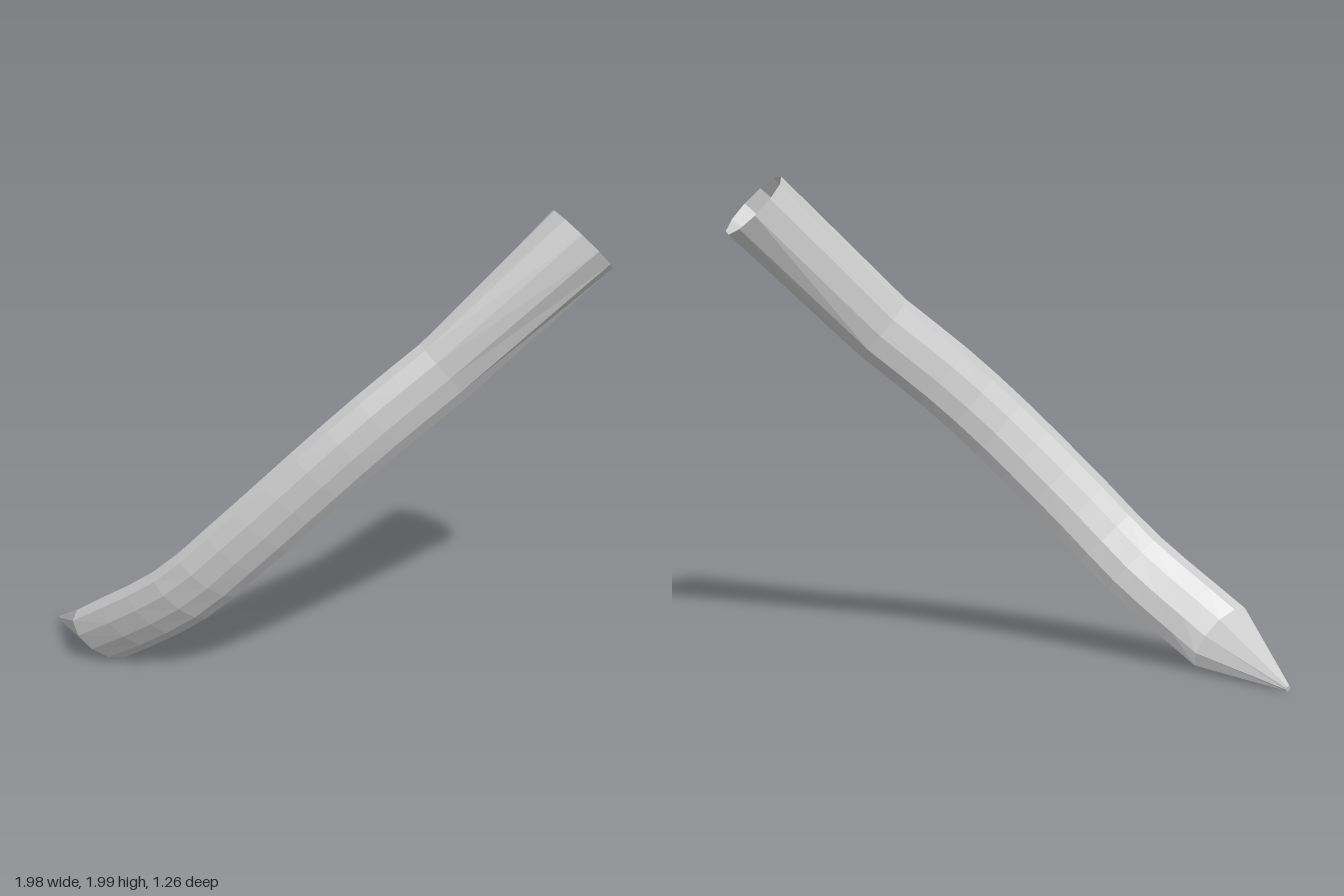
import * as THREE from 'three';

const SIDES = 11;
const V = (x, y, z) => new THREE.Vector3(x, y, z);

// Flat-shaded open skin through a list of elliptical rings { c, w, n }:
// centre, half-width vector and half-thickness vector
function loft(name, rings, material, capEnd = false) {
  const pos = [], idx = [];
  for (const { c, w, n } of rings) {
    for (let j = 0; j < SIDES; j++) {
      const a = (j / SIDES) * Math.PI * 2;
      const p = c.clone().addScaledVector(n, Math.cos(a)).addScaledVector(w, Math.sin(a));
      pos.push(p.x, p.y, p.z);
    }
  }
  for (let i = 0; i < rings.length - 1; i++) {
    for (let j = 0; j < SIDES; j++) {
      const k = (j + 1) % SIDES;
      const a = i * SIDES + j, b = i * SIDES + k;
      idx.push(a, a + SIDES, b, b, a + SIDES, b + SIDES);
    }
  }
  if (capEnd) {
    const s = (rings.length - 1) * SIDES;
    for (let j = 1; j < SIDES - 1; j++) idx.push(s, s + j + 1, s + j);
  }
  const geo = new THREE.BufferGeometry();
  geo.setAttribute('position', new THREE.Float32BufferAttribute(pos, 3));
  geo.setIndex(idx);
  geo.computeVertexNormals();
  const mesh = new THREE.Mesh(geo, material);
  mesh.name = name;
  return mesh;
}

export function createModel() {
  const group = new THREE.Group();
  group.name = 'curvedHorn';
  const material = new THREE.MeshStandardMaterial({
    color: 0xcccccc, flatShading: true, side: THREE.DoubleSide,
  });

  // Flattened, curving shaft
  const path = new THREE.CatmullRomCurve3([
    V(0.365, 1.385, 0.395), V(0.1, 1.165, 0.357), V(-0.1, 0.975, 0.31),
    V(-0.4, 0.65, 0.188), V(-0.6, 0.415, 0.06), V(-0.875, 0.135, -0.225),
  ]);
  const shaft = [];
  const steps = 12;
  for (let i = 0; i <= steps; i++) {
    const u = i / steps;
    const t = path.getTangentAt(u);
    const w = V(-t.y, t.x, 0).normalize();
    // the last ring is mitred towards the point
    const n = i === steps ? V(-0.7, -0.7, 0.33).normalize() : t.clone().cross(w).normalize();
    shaft.push({
      c: path.getPointAt(u),
      w: w.multiplyScalar(0.15 + 0.008 * u),
      n: n.multiplyScalar(0.081),
    });
  }

  // Round open mouth, flaring out from the shaft
  const mouth = { c: V(0.875, 1.885, 0.47), w: V(0.11, -0.115, 0), n: V(0, 0, 0.16) };

  // Small blunt end of the point
  const tip = { c: V(-0.978, 0.017, -0.63), w: V(0.008, -0.009, 0), n: V(-0.007, -0.007, 0.003) };

  group.add(
    loft('flaredSocket', [mouth, shaft[0]], material),
    loft('curvedShaft', shaft, material),
    loft('pointedTip', [shaft[steps], tip], material, true),
  );
  return group;
}
